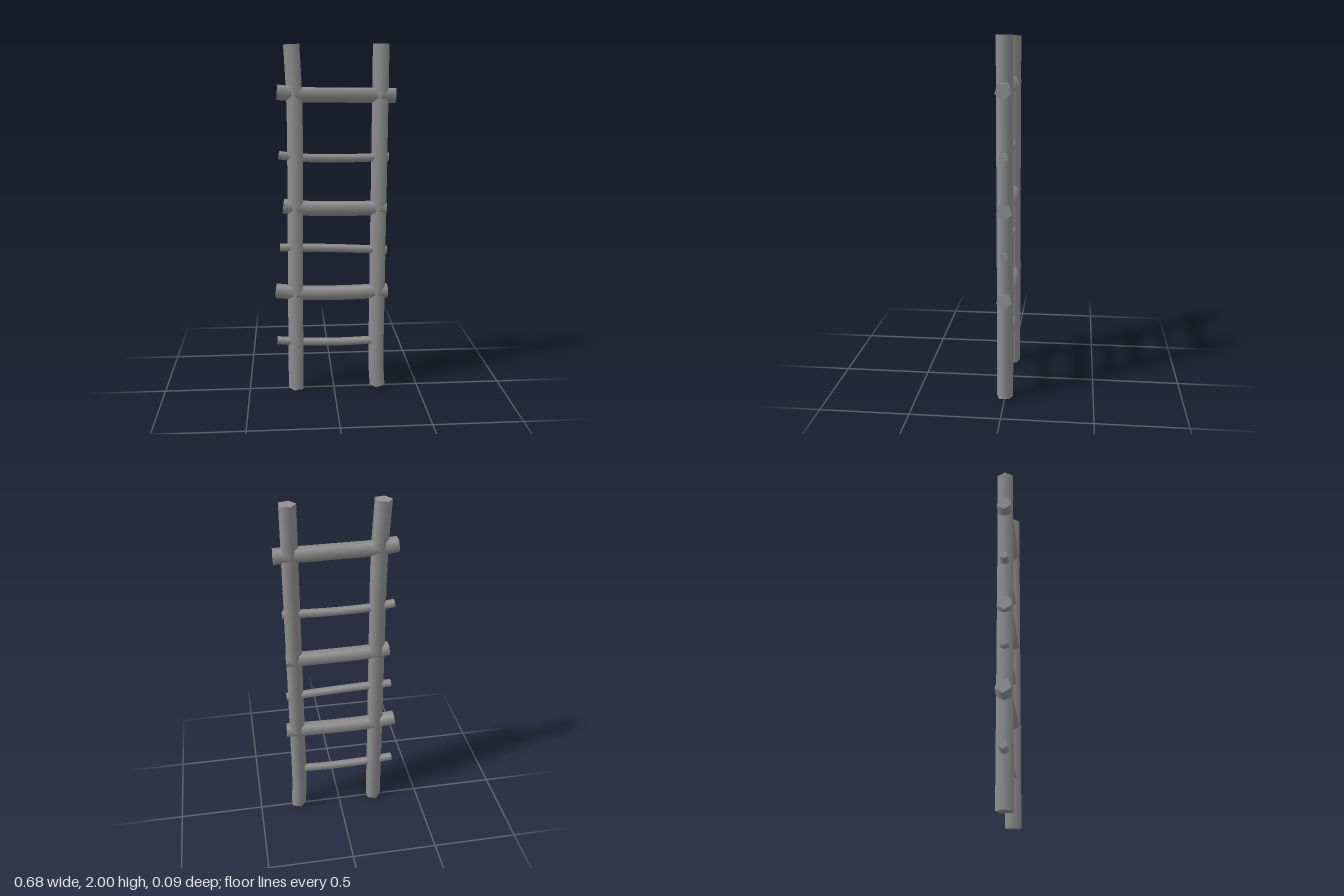
import * as THREE from 'three';

const material = new THREE.MeshStandardMaterial({ color: 0x929292 });

// Five-sided log swept along a curve in the xy plane, with smooth sides and flat end caps.
function log(name, points, radius, thetaStart) {
  const curve = new THREE.CatmullRomCurve3(points.map(([x, y]) => new THREE.Vector3(x, y, 0)));
  const geometry = new THREE.CylinderGeometry(radius, radius, 1, 5, 16, false, thetaStart);
  const { position, normal } = geometry.attributes;
  const z = new THREE.Vector3(0, 0, 1);
  const v = new THREE.Vector3();
  for (let i = 0; i < position.count; i++) {
    const t = THREE.MathUtils.clamp(position.getY(i) + 0.5, 0, 1);
    const centre = curve.getPointAt(t);
    const along = curve.getTangentAt(t);
    const side = new THREE.Vector3(along.y, -along.x, 0);
    const frame = new THREE.Matrix4().makeBasis(side, along, z);
    v.fromBufferAttribute(normal, i).applyMatrix4(frame);
    normal.setXYZ(i, v.x, v.y, v.z);
    v.set(position.getX(i), 0, position.getZ(i)).applyMatrix4(frame).add(centre);
    position.setXYZ(i, v.x, v.y, v.z);
  }
  const mesh = new THREE.Mesh(geometry, material);
  mesh.name = name;
  return mesh;
}

export function createModel() {
  const ladder = new THREE.Group();
  ladder.name = 'ladder';

  // Uprights, with one corner of the section pointing to -x
  ladder.add(log('rightPole',
    [[-0.222, 0.001], [-0.219, 0.5], [-0.215, 1], [-0.212, 1.7], [-0.225, 1.997]], 0.048, -Math.PI / 2));
  ladder.add(log('leftPole',
    [[0.265, 0.008], [0.257, 0.1], [0.256, 0.6], [0.258, 1.3], [0.26, 2]], 0.048, -Math.PI / 2));

  // Rungs, bent near the right pole, with one corner pointing down: centre line and radius
  const thick = 0.045, thin = 0.025;
  const rungs = [
    [[[-0.333, 0.304], [-0.2, 0.293], [0.04, 0.286], [0.25, 0.292]], thin],
    [[[-0.336, 0.611], [-0.2, 0.596], [0.02, 0.591], [0.313, 0.598]], thick],
    [[[-0.307, 0.87], [-0.18, 0.867], [0, 0.861], [0.306, 0.845]], thin],
    [[[-0.285, 1.112], [-0.18, 1.1], [0, 1.095], [0.298, 1.093]], thick],
    [[[-0.307, 1.401], [-0.18, 1.386], [0.03, 1.38], [0.308, 1.386]], thin],
    [[[-0.311, 1.747], [-0.18, 1.734], [0, 1.731], [0.341, 1.727]], thick],
  ];
  rungs.forEach(([points, radius], i) =>
    ladder.add(log(`rung${i + 1}`, points, radius, Math.PI / 2)));

  return ladder;
}
